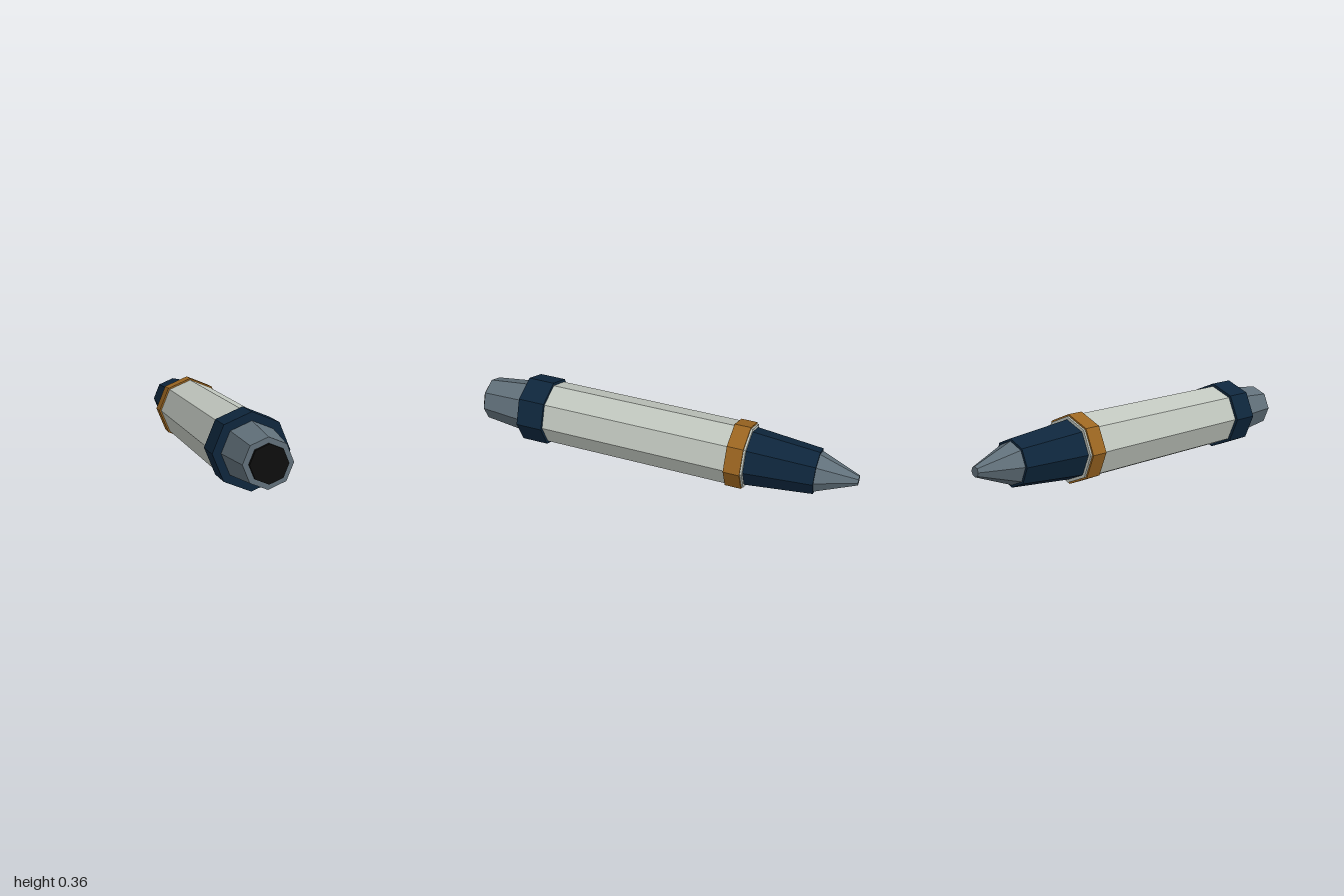
import * as THREE from 'three';

const SIDES = 8;
const AXIS_Y = 0.18;

function material(name, color) {
  const m = new THREE.MeshStandardMaterial({ color, flatShading: true });
  m.name = name;
  return m;
}

export function createModel() {
  const model = new THREE.Group();
  model.name = 'pen';

  const ivory = material('pale grey', 0xc0c6be);
  const navy = material('navy', 0x0e263c);
  const steel = material('steel grey', 0x61707a);
  const gold = material('gold', 0x9c6621);
  const black = material('black', 0x0d0d0d);

  // Octagonal section along z, from the back end to the front end
  function section(name, mat, zBack, rBack, zFront, rFront) {
    const geometry = new THREE.CylinderGeometry(rFront, rBack, zFront - zBack, SIDES);
    geometry.rotateX(Math.PI / 2);
    const mesh = new THREE.Mesh(geometry, mat);
    mesh.name = name;
    mesh.position.set(0, AXIS_Y, (zBack + zFront) / 2);
    model.add(mesh);
  }

  // Writing end
  section('tip', steel, -1.0, 0.025, -0.8, 0.103);
  section('grip', navy, -0.8, 0.115, -0.46, 0.148);

  // Barrel and its bands
  section('barrel', ivory, -0.46, 0.163, 0.63, 0.163);
  section('goldBand', gold, -0.45, 0.172, -0.367, 0.172);
  section('collar', navy, 0.615, 0.178, 0.755, 0.178);

  // Rear cap
  section('endCap', steel, 0.74, 0.14, 0.985, 0.112);
  section('endDisc', black, 0.98, 0.086, 1.0, 0.086);

  return model;
}
